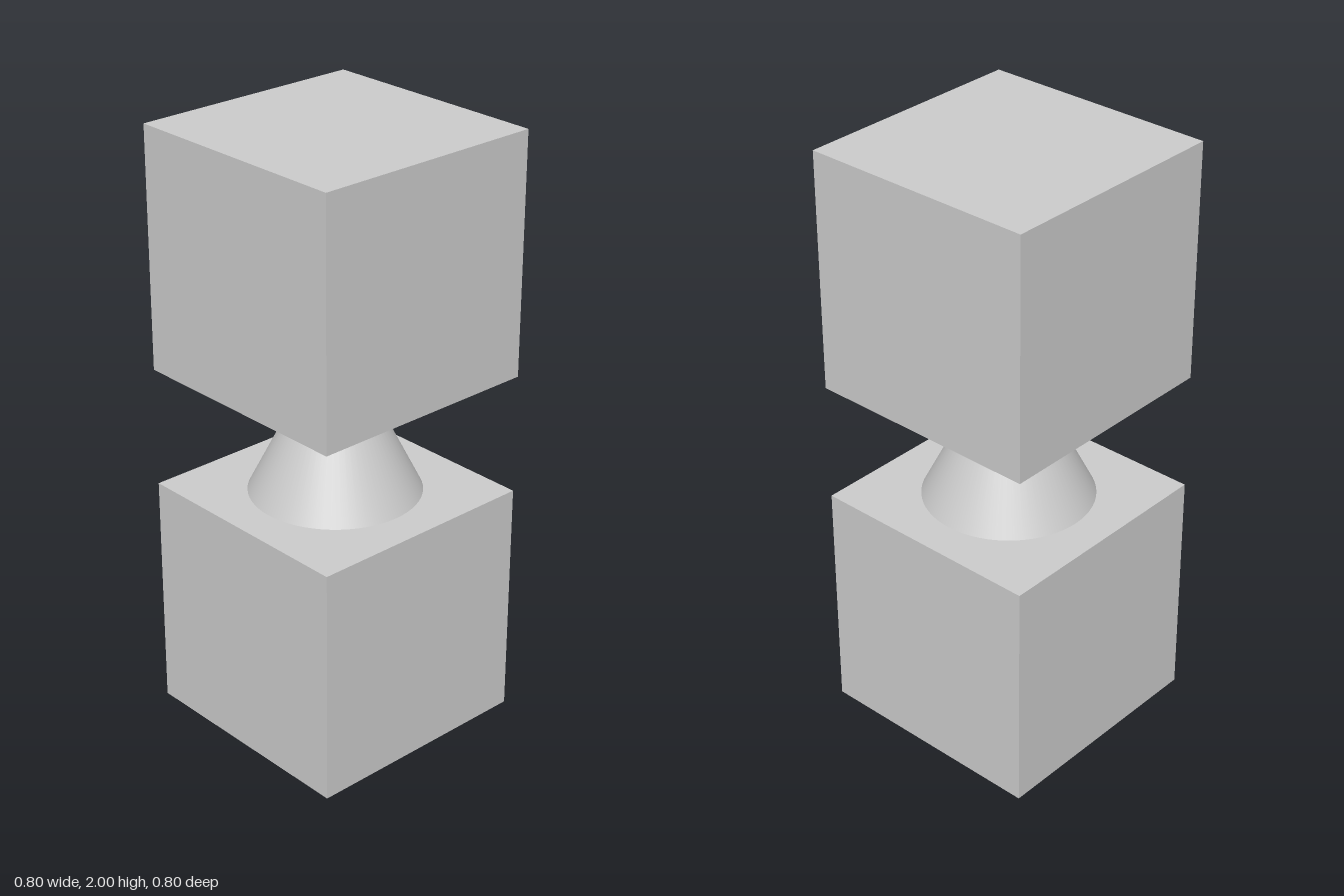
import * as THREE from 'three';

export function createModel() {
  const group = new THREE.Group();
  const material = new THREE.MeshStandardMaterial({ color: 0xcccccc });

  function addPart(name, geometry, y) {
    const mesh = new THREE.Mesh(geometry, material);
    mesh.name = name;
    mesh.position.y = y;
    group.add(mesh);
  }

  // Two equal cubes joined by a tapered neck
  const size = 0.8;
  addPart('lowerCube', new THREE.BoxGeometry(size, size, size), 0.4);
  addPart('neck', new THREE.CylinderGeometry(0.08, 0.28, 0.4, 64, 1, true), 1);
  addPart('upperCube', new THREE.BoxGeometry(size, size, size), 1.6);

  return group;
}
